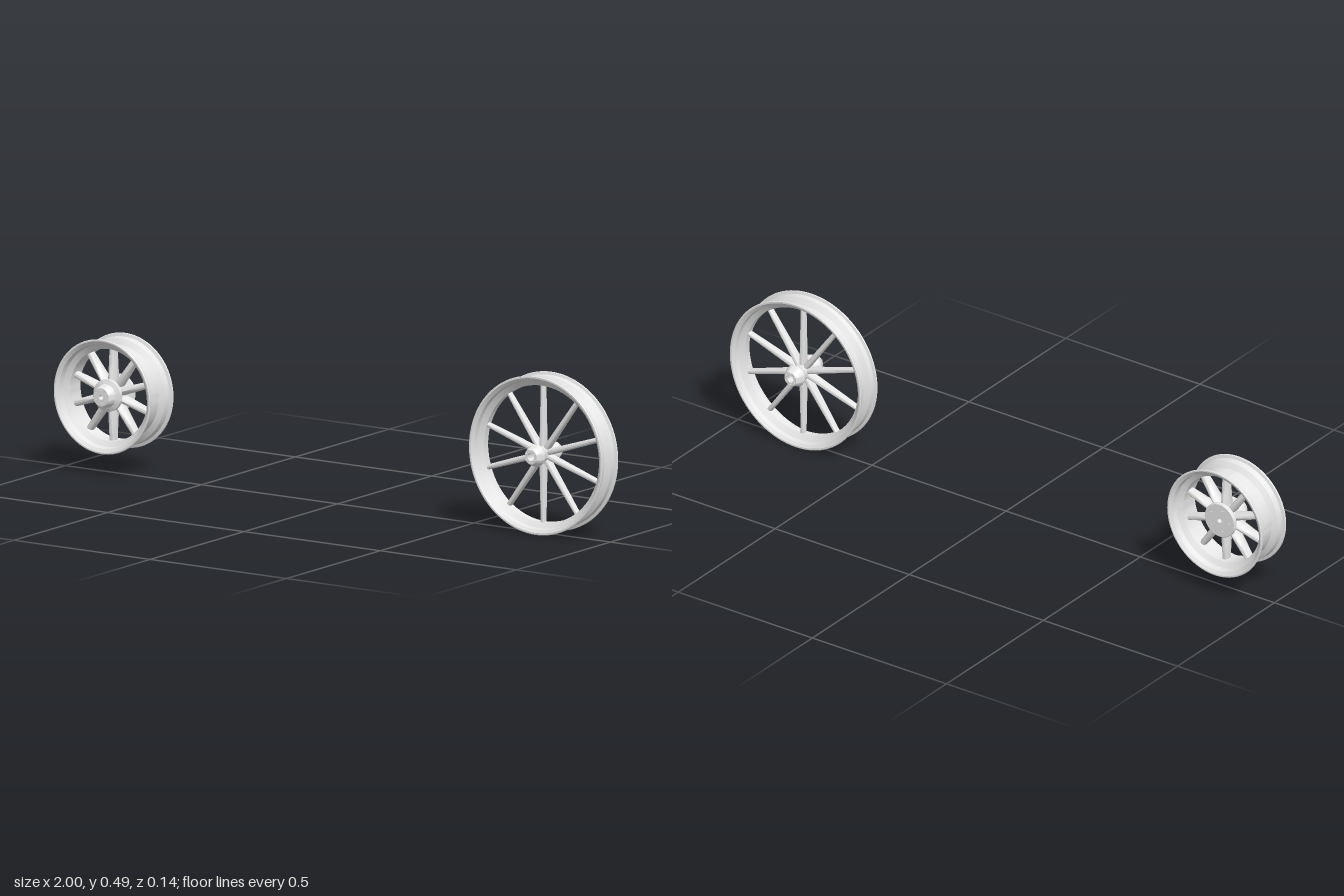
import * as THREE from 'three';
import { toCreasedNormals } from 'three/addons/utils/BufferGeometryUtils.js';

const metal = new THREE.MeshStandardMaterial({ color: 0xe7e7e7 });
metal.name = 'light grey metal';

// Turns a [radius, z] profile around the wheel axis (z), keeping edges sharp
function turned(name, profile, segments = 72) {
  const points = profile.map(([r, z]) => new THREE.Vector2(r, z));
  const geometry = new THREE.LatheGeometry(points, segments);
  geometry.rotateX(Math.PI / 2);
  const mesh = new THREE.Mesh(toCreasedNormals(geometry, 0.5), metal);
  mesh.name = name;
  return mesh;
}

// Closed rim section: mirrored half profiles for the outer and inner skins
function rim(outerHalf, innerHalf) {
  const flip = (half) => half.map(([r, z]) => [r, -z]);
  const outer = [...flip(outerHalf), ...[...outerHalf].reverse()];
  const inner = [...innerHalf, ...flip([...innerHalf].reverse())];
  return turned('rim', [...outer, ...inner, outer[0]], 96);
}

// Tapered spoke running from the hub to the rim along +y; sizes are [width, depth]
function spokeGeometry(r0, r1, root, tip) {
  const geometry = new THREE.CylinderGeometry(1, 1, r1 - r0, 12, 4);
  geometry.translate(0, (r0 + r1) / 2, 0);
  const p = geometry.attributes.position;
  for (let i = 0; i < p.count; i++) {
    const t = (p.getY(i) - r0) / (r1 - r0);
    const w = THREE.MathUtils.lerp(root[0], tip[0], t) / 2;
    const d = THREE.MathUtils.lerp(root[1], tip[1], t) / 2;
    p.setX(i, p.getX(i) * w);
    p.setZ(i, p.getZ(i) * d);
  }
  return toCreasedNormals(geometry, 0.9);
}

function addSpokes(wheel, count, geometry) {
  for (let i = 0; i < count; i++) {
    const spoke = new THREE.Mesh(geometry, metal);
    spoke.name = 'spoke';
    spoke.rotation.z = (i / count) * Math.PI * 2;
    wheel.add(spoke);
  }
}

// Ring of small bolts on a hub face
function addBolts(wheel, count, ring, z, radius, length) {
  const geometry = new THREE.CylinderGeometry(radius, radius, length, 8);
  geometry.rotateX(Math.PI / 2);
  for (let i = 0; i < count; i++) {
    const a = ((i + 0.5) / count) * Math.PI * 2;
    const bolt = new THREE.Mesh(geometry, metal);
    bolt.name = 'hubBolt';
    bolt.position.set(Math.cos(a) * ring, Math.sin(a) * ring, z);
    wheel.add(bolt);
  }
}

function largeWheel() {
  const wheel = new THREE.Group();
  wheel.name = 'largeWheel';
  wheel.add(rim(
    [[0.243, 0.044], [0.245, 0.042], [0.244, 0.039], [0.236, 0.036], [0.234, 0.021], [0.218, 0.009]],
    [[0.238, 0.044], [0.229, 0.037], [0.227, 0.023], [0.211, 0.011]],
  ));
  addSpokes(wheel, 10, spokeGeometry(0.02, 0.214, [0.02, 0.034], [0.016, 0.022]));
  // Hub barrel with a flared boss and hollow axle bore at each end
  wheel.add(turned('hub', [
    [0.012, -0.069], [0.022, -0.069], [0.026, -0.063], [0.029, -0.054], [0.034, -0.044], [0.034, -0.04],
    [0.026, -0.025], [0.026, 0.025], [0.034, 0.04], [0.034, 0.044], [0.029, 0.054], [0.026, 0.063],
    [0.022, 0.069], [0.012, 0.069], [0.012, -0.069],
  ], 40));
  for (const side of [-1, 1]) addBolts(wheel, 6, 0.018, side * 0.07, 0.0025, 0.005);
  return wheel;
}

function smallWheel() {
  const wheel = new THREE.Group();
  wheel.name = 'smallWheel';
  wheel.add(rim(
    [[0.175, 0.064], [0.177, 0.062], [0.176, 0.058], [0.167, 0.055], [0.164, 0.036], [0.148, 0.025]],
    [[0.171, 0.064], [0.161, 0.057], [0.158, 0.038], [0.142, 0.027]],
  ));
  addSpokes(wheel, 10, spokeGeometry(0.03, 0.145, [0.025, 0.05], [0.021, 0.032]));
  // Flat rear flange, stepped front boss and hollow axle bore
  wheel.add(turned('hub', [
    [0.008, -0.038], [0.054, -0.038], [0.056, -0.036], [0.056, -0.026], [0.042, -0.018],
    [0.042, 0.018], [0.05, 0.026], [0.05, 0.036], [0.036, 0.042], [0.031, 0.064],
    [0.028, 0.068], [0.008, 0.068], [0.008, -0.038],
  ], 40));
  addBolts(wheel, 6, 0.021, 0.069, 0.0025, 0.005);
  addBolts(wheel, 5, 0.036, -0.039, 0.003, 0.003);
  return wheel;
}

export function createModel() {
  const model = new THREE.Group();
  model.name = 'wheelPair';
  const large = largeWheel();
  large.position.set(0.755, 0.245, 0);
  const small = smallWheel();
  small.position.set(-0.823, 0.243, -0.001);
  model.add(large, small);
  return model;
}
